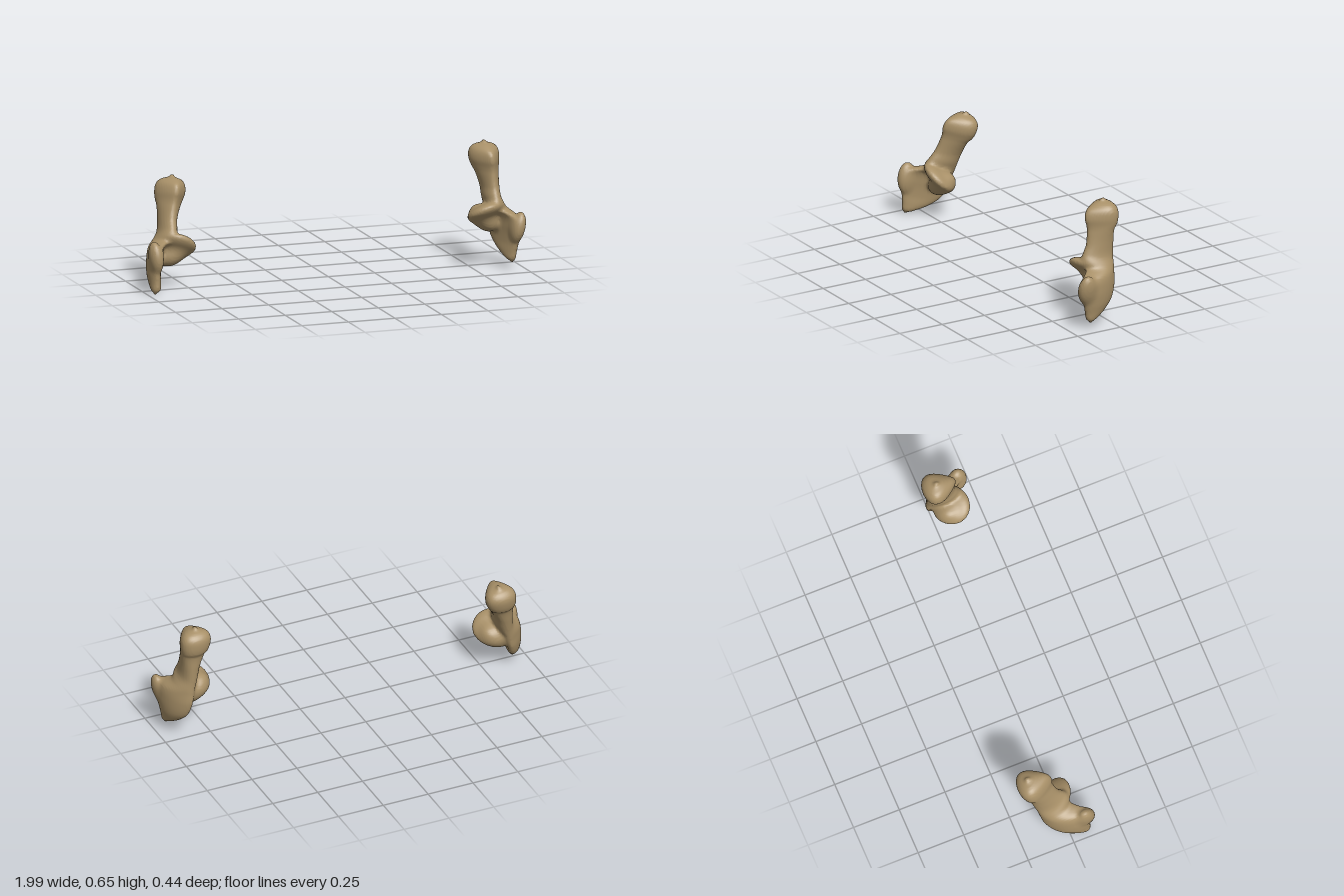
import * as THREE from 'three';

const bone = new THREE.MeshStandardMaterial({ color: 0xa89068 });
bone.name = 'bone tan';

// Horizontal sections of head, shaft and plate, bottom to top:
// y, back x, back z, front x, front z, half width, outward bow, front taper
const SECTIONS = [
  [0.033, 0.935, 0.122, 0.94, 0.15, 0.01, 0, 0],
  [0.047, 0.926, 0.095, 0.94, 0.161, 0.023, 0, 0],
  [0.08, 0.905, 0.04, 0.943, 0.168, 0.031, 0.006, 0],
  [0.13, 0.885, -0.01, 0.95, 0.18, 0.036, 0.015, 0],
  [0.2, 0.87, -0.034, 0.955, 0.195, 0.04, 0.02, 0],
  [0.265, 0.862, -0.035, 0.945, 0.18, 0.042, 0.018, 0],
  [0.305, 0.86, -0.035, 0.89, 0.118, 0.046, 0.008, 0],
  [0.35, 0.86, -0.037, 0.862, 0.135, 0.045, 0, 0.1],
  [0.41, 0.855, -0.04, 0.857, 0.112, 0.046, 0, 0.2],
  [0.485, 0.845, -0.045, 0.85, 0.102, 0.058, 0, 0.4],
  [0.51, 0.84, -0.06, 0.848, 0.104, 0.065, 0, 0.45],
  [0.55, 0.835, -0.067, 0.845, 0.112, 0.072, 0, 0.5],
  [0.59, 0.835, -0.063, 0.84, 0.098, 0.068, 0, 0.5],
  [0.615, 0.835, -0.042, 0.835, 0.055, 0.05, 0, 0.4],
  [0.626, 0.835, -0.018, 0.835, 0.025, 0.018, 0, 0.3],
];
const LAST = SECTIONS.length - 1;

// Smoothly interpolated section at a height
function sectionAt(y) {
  let i = 0;
  while (i < LAST - 1 && SECTIONS[i + 1][0] < y) i++;
  const a = SECTIONS[i], b = SECTIONS[i + 1];
  const before = SECTIONS[Math.max(i - 1, 0)], after = SECTIONS[Math.min(i + 2, LAST)];
  const h = b[0] - a[0], t = (y - a[0]) / h, t2 = t * t, t3 = t2 * t;
  return a.map((v, n) => {
    const m0 = (b[n] - before[n]) / (b[0] - before[0]) * h;
    const m1 = (after[n] - v) / (after[0] - a[0]) * h;
    return (2 * t3 - 3 * t2 + 1) * v + (t3 - 2 * t2 + t) * m0 + (3 * t2 - 2 * t3) * b[n] + (t3 - t2) * m1;
  });
}

// Approximate distance to an ellipse or ellipsoid
function roundDistance(point, radii) {
  let k0 = 0, k1 = 0;
  point.forEach((v, n) => { k0 += (v / radii[n]) ** 2; k1 += (v / radii[n] ** 2) ** 2; });
  k0 = Math.sqrt(k0);
  return k0 * (k0 - 1) / (Math.sqrt(k1) || 1e-9);
}

// Head, shaft and curved plate
function bodyDistance(p) {
  const y = THREE.MathUtils.clamp(p.y, SECTIONS[0][0], SECTIONS[LAST][0]);
  const [, xb, zb, xf, zf, width, bow, taper] = sectionAt(y);
  const half = Math.hypot(xf - xb, zf - zb) / 2;
  const dx = (xf - xb) / (2 * half), dz = (zf - zb) / (2 * half);
  const px = p.x - (xb + xf) / 2, pz = p.z - (zb + zf) / 2;
  const along = px * dx + pz * dz, s = THREE.MathUtils.clamp(along / half, -1, 1);
  const across = px * dz - pz * dx - bow * (1 - s * s);
  return roundDistance([across, along], [width * (1 - taper * s), half]) + Math.abs(p.y - y);
}

// Tilted ellipsoid
function swelling(center, radii, rotX, rotZ) {
  const c = new THREE.Vector3(...center);
  const inverse = new THREE.Quaternion().setFromEuler(new THREE.Euler(rotX, 0, rotZ, 'ZYX')).invert();
  const q = new THREE.Vector3();
  return p => roundDistance(q.copy(p).sub(c).applyQuaternion(inverse).toArray(), radii);
}

const outerLip = swelling([0.96, 0.216, 0.172], [0.034, 0.076, 0.046], 0, -0.22);
const shelf = swelling([0.815, 0.285, 0.085], [0.096, 0.036, 0.09], -0.45, 0.25);
const shelfButtress = swelling([0.82, 0.245, 0.05], [0.056, 0.085, 0.062], 0, 0.8);

function blend(a, b, k) {
  const h = Math.max(k - Math.abs(a - b), 0) / k;
  return Math.min(a, b) - h * h * k / 4;
}

function boneField(p) {
  const inner = blend(shelf(p), shelfButtress(p), 0.035);
  return blend(blend(bodyDistance(p), inner, 0.03), outerLip(p), 0.025);
}

// Skin of the blended bone: one vertex per grid cell that the surface crosses
function boneGeometry() {
  const step = 0.008, min = [0.69, 0.012, -0.1], n = [43, 80, 44];
  const stride = [1, n[0], n[0] * n[1]];
  const gridPoint = id => new THREE.Vector3(
    min[0] + (id % n[0]) * step,
    min[1] + (Math.floor(id / n[0]) % n[1]) * step,
    min[2] + Math.floor(id / stride[2]) * step);
  const field = Float32Array.from({ length: n[0] * n[1] * n[2] }, (_, id) => boneField(gridPoint(id)));
  const inside = id => field[id] < 0;

  function crossing(a, b) {
    const pIn = gridPoint(inside(a) ? a : b), pOut = gridPoint(inside(a) ? b : a);
    const mid = new THREE.Vector3();
    for (let i = 0; i < 8; i++) {
      mid.lerpVectors(pIn, pOut, 0.5);
      (boneField(mid) < 0 ? pIn : pOut).copy(mid);
    }
    return mid;
  }

  const pos = [], index = [], hits = new Map(), quads = [];
  for (let id = 0; id < field.length; id++) {
    for (let axis = 0; axis < 3; axis++) {
      const next = id + stride[axis];
      if (next >= field.length || inside(id) === inside(next)) continue;
      const u = stride[(axis + 1) % 3], v = stride[(axis + 2) % 3];
      const cells = [id, id - u, id - u - v, id - v];
      const point = crossing(id, next);
      for (const cell of cells) {
        if (!hits.has(cell)) hits.set(cell, { sum: new THREE.Vector3(), count: 0 });
        const hit = hits.get(cell);
        hit.sum.add(point);
        hit.count++;
      }
      quads.push(inside(id) ? cells : cells.reverse());
    }
  }
  for (const hit of hits.values()) {
    hit.vertex = pos.length / 3;
    pos.push(...hit.sum.divideScalar(hit.count).toArray());
  }
  for (const quad of quads) {
    const [a, b, c, d] = quad.map(cell => hits.get(cell).vertex);
    index.push(a, b, c, a, c, d);
  }
  const g = new THREE.BufferGeometry();
  g.setAttribute('position', new THREE.Float32BufferAttribute(pos, 3));
  g.setIndex(index);
  g.computeVertexNormals();
  return g;
}

// Mirror across x, keeping the faces outward
function mirrored(source) {
  const g = source.clone();
  const p = g.attributes.position;
  for (let i = 0; i < p.count; i++) p.setX(i, -p.getX(i));
  g.setIndex(Array.from(g.index.array).reverse());
  g.computeVertexNormals();
  return g;
}

export function createModel() {
  const model = new THREE.Group();
  model.name = 'heelBonePair';

  // Both bones pivot on their lower tip
  const leftGeometry = boneGeometry().translate(-0.94, -0.035, -0.14);
  const left = new THREE.Mesh(leftGeometry, bone);
  left.name = 'leftHeelBone';
  left.position.set(0.94, 0.035, 0.14);

  // The right bone leans back and inward
  const right = new THREE.Mesh(mirrored(leftGeometry), bone);
  right.name = 'rightHeelBone';
  right.position.set(-0.962, 0.003, 0.088);
  right.rotation.set(-0.2, 0, -0.14, 'ZYX');

  model.add(left, right);
  return model;
}
